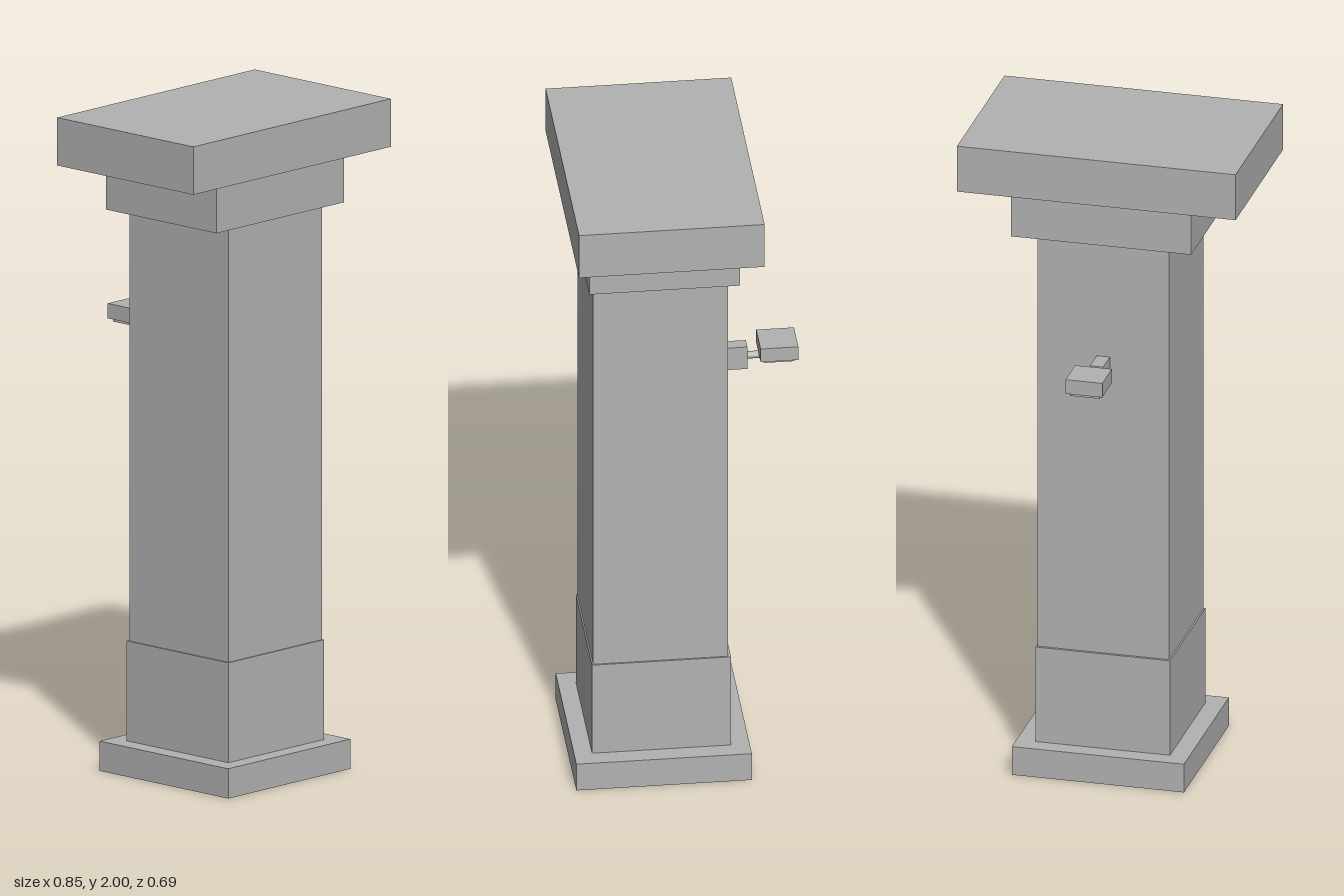
import * as THREE from 'three';

export function createModel() {
  const model = new THREE.Group();
  const stone = new THREE.MeshStandardMaterial({ color: 0xb2b2b2 });
  stone.name = 'plain grey';

  const add = (name, geometry, x, y, z) => {
    const mesh = new THREE.Mesh(geometry, stone);
    mesh.name = name;
    mesh.position.set(x, y, z);
    model.add(mesh);
    return mesh;
  };
  // Box centred on x = 0, given its width and its y and z ranges
  const block = (name, width, y0, y1, z0, z1) =>
    add(name, new THREE.BoxGeometry(width, y1 - y0, z1 - z0), 0, (y0 + y1) / 2, (z0 + z1) / 2);

  // Pillar, from the ground up
  block('base', 0.524, 0, 0.09, -0.186, 0.334);
  block('plinth', 0.41, 0.09, 0.392, -0.131, 0.281);
  block('shaft', 0.4, 0.392, 1.705, -0.123, 0.277);
  block('capital', 0.547, 1.705, 1.855, -0.149, 0.297);
  block('topSlab', 0.848, 1.855, 2, -0.205, 0.345);

  // Small holder on the back
  block('wallBracket', 0.04, 1.265, 1.34, -0.201, -0.122);
  const arm = add('bracketArm', new THREE.CylinderGeometry(0.011, 0.011, 0.088, 12), 0, 1.301, -0.243);
  arm.rotation.x = Math.PI / 2;
  block('holderUnderside', 0.09, 1.297, 1.308, -0.337, -0.247);
  block('holderPlate', 0.112, 1.307, 1.352, -0.348, -0.236);

  return model;
}
